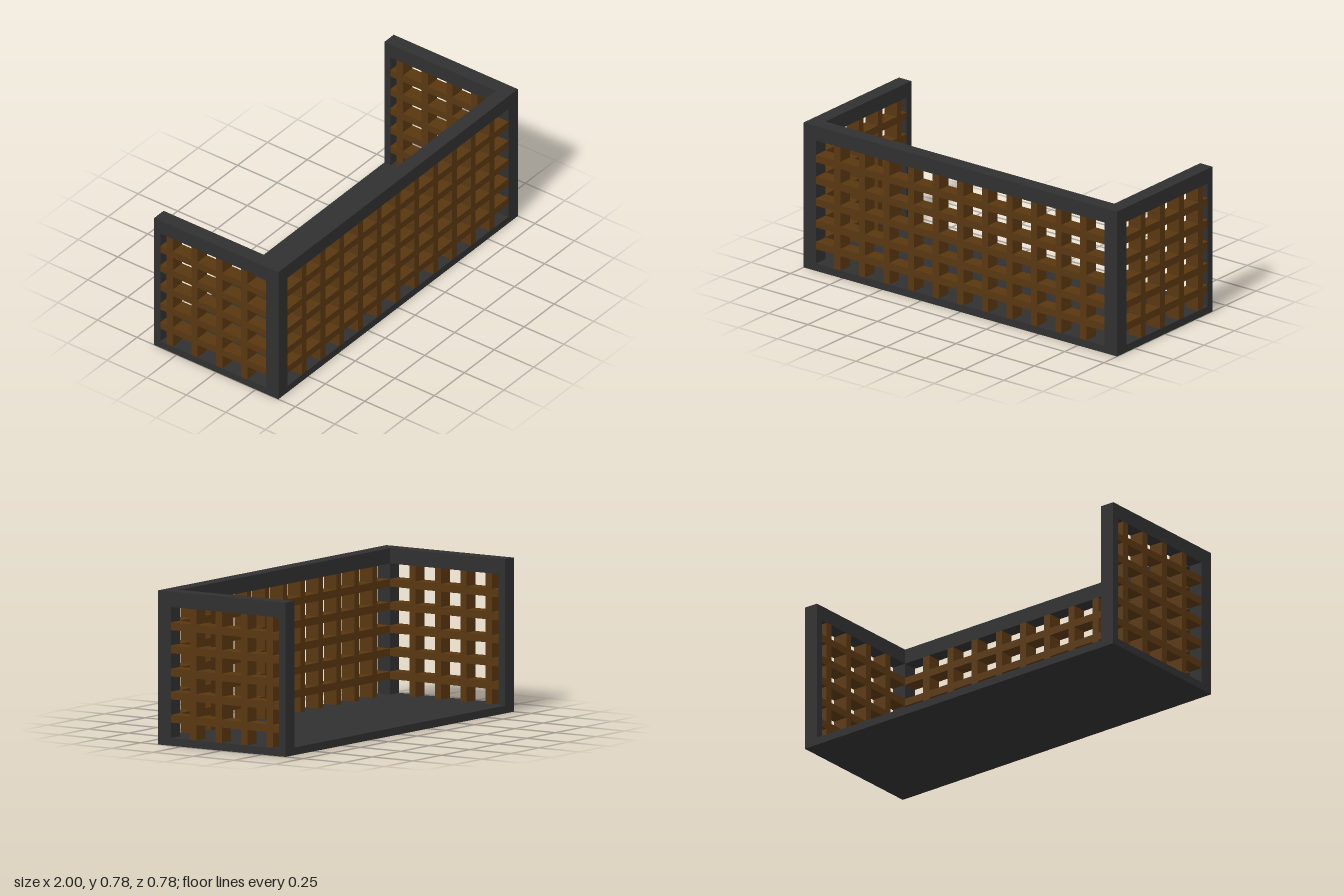
import * as THREE from 'three';

export function createModel() {
  const U = 2 / 51; // one module of the balcony; all sizes below are in modules
  const W = 51, D = 20, H = 20, T = 2; // width, depth, height, wall thickness
  const metal = new THREE.MeshStandardMaterial({ color: 0x303030, flatShading: true });
  const wood = new THREE.MeshStandardMaterial({ color: 0x593710, flatShading: true });

  const model = new THREE.Group();
  model.name = 'balcony';

  // Box given by its minimum and maximum corners
  function box(parent, name, material, min, max) {
    const size = max.map((v, i) => (v - min[i]) * U);
    const mesh = new THREE.Mesh(new THREE.BoxGeometry(...size), material);
    mesh.position.set(...max.map((v, i) => ((v + min[i]) / 2) * U));
    mesh.name = name;
    parent.add(mesh);
  }

  const x1 = W / 2, x0 = x1 - T; // outer and inner faces of the side walls
  const z1 = D / 2, z0 = z1 - T; // outer and inner faces of the front wall
  const zBack = -z1 + 1; // inner face of the slim back posts
  const top = H - T;
  const rows = [3, 6, 9, 12, 15]; // undersides of the horizontal slats

  box(model, 'floor', metal, [-x1, 0, -z1], [x1, 1, z1]);
  box(model, 'frontRail', metal, [-x1, top, z0], [x1, H, z1]);

  // Front lattice
  const front = new THREE.Group();
  front.name = 'frontLattice';
  model.add(front);
  for (const y of rows) box(front, 'horizontalSlat', wood, [-x0, y, z0], [x0, y + 1, z1]);
  for (let i = -5; i <= 5; i++) {
    box(front, 'verticalSlat', wood, [i * 4 - 0.5, 1, z0], [i * 4 + 0.5, top, z1]);
  }

  // Side walls: posts, rail and lattice
  for (const [side, a, b] of [['left', x0, x1], ['right', -x1, -x0]]) {
    const wall = new THREE.Group();
    wall.name = side + 'Wall';
    model.add(wall);
    box(wall, 'frontPost', metal, [a, 1, z0], [b, top, z1]);
    box(wall, 'backPost', metal, [a, 1, -z1], [b, top, zBack]);
    box(wall, 'sideRail', metal, [a, top, -z1], [b, H, z0]);
    for (const y of rows) box(wall, 'horizontalSlat', wood, [a, y, zBack], [b, y + 1, z0]);
    for (let i = 0; i < 4; i++) {
      const z = z0 - 4 - i * 4;
      box(wall, 'verticalSlat', wood, [a, 1, z], [b, top, z + 1]);
    }
  }
  return model;
}
